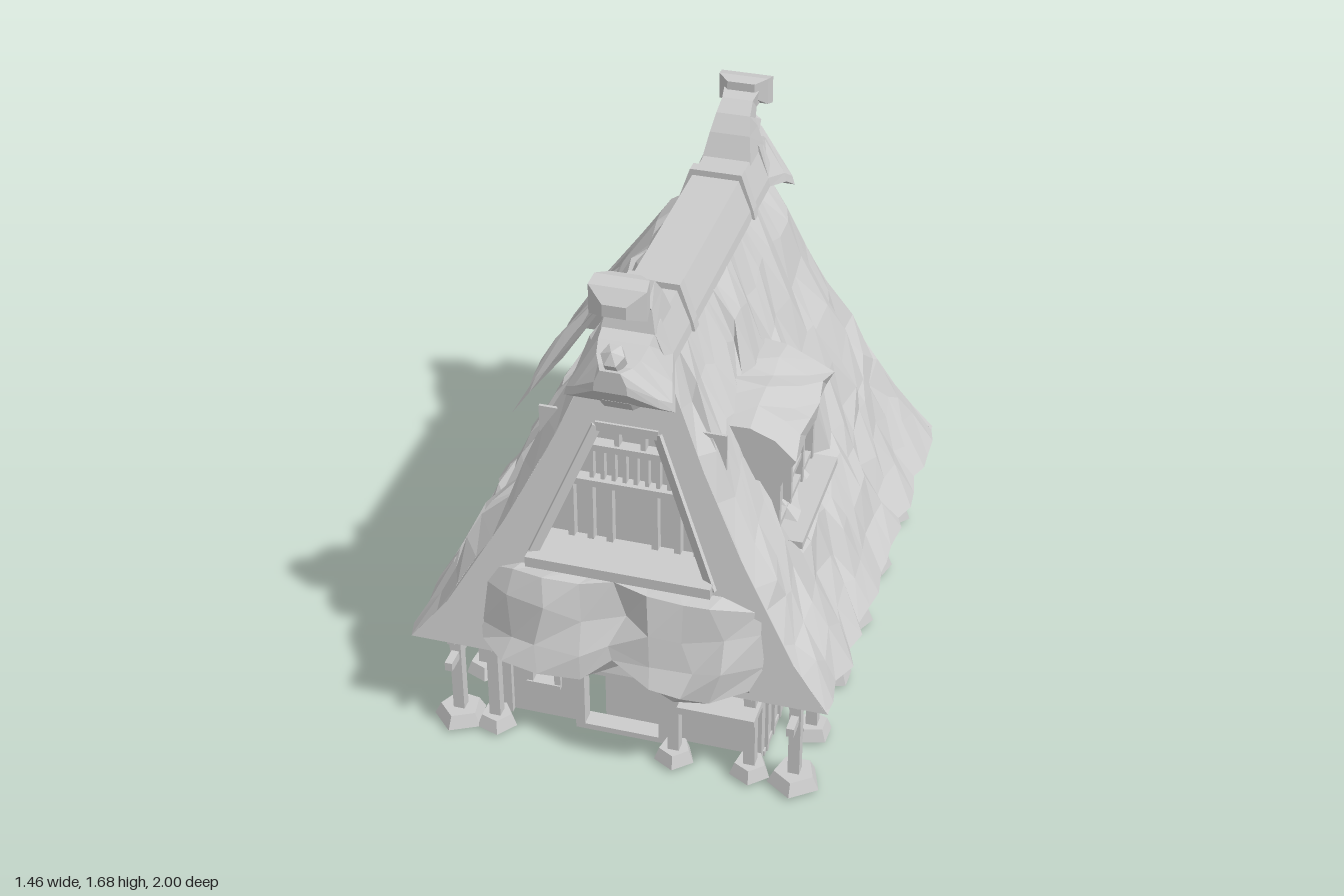
import * as THREE from 'three';

const CX = 0.045, MID = 0.135; // ridge line in x, ridge middle in z

export function createModel() {
  const model = new THREE.Group();
  const mat = new THREE.MeshStandardMaterial({ color: 0xcccccc, flatShading: true, side: THREE.DoubleSide });
  let seed = 7;
  const rnd = () => (seed = (seed * 16807) % 2147483647) / 2147483647;
  const jit = a => (rnd() - 0.5) * 2 * a;
  const group = (name, parent = model) => {
    const g = new THREE.Group(); g.name = name; parent.add(g); return g;
  };
  const add = (geo, name, parent = model) => {
    const m = new THREE.Mesh(geo, mat); m.name = name; parent.add(m); return m;
  };
  // box given by its minimum and maximum on each axis
  const box = (x0, x1, y0, y1, z0, z1, name, parent) => {
    const m = add(new THREE.BoxGeometry(x1 - x0, y1 - y0, z1 - z0), name, parent);
    m.position.set((x0 + x1) / 2, (y0 + y1) / 2, (z0 + z1) / 2);
  };
  // square beam between two points
  const beam = (a, b, w, name, parent) => {
    const p = new THREE.Vector3(...a), q = new THREE.Vector3(...b);
    const m = add(new THREE.BoxGeometry(w, w, p.distanceTo(q)), name, parent);
    m.position.copy(p).add(q).multiplyScalar(0.5);
    m.lookAt(q);
  };
  // surface through rows of points, optionally closed with end caps
  const skin = (rows, name, parent, closed = false) => {
    const n = rows[0].length, idx = [], pos = rows.flat(2);
    for (let i = 0; i < rows.length - 1; i++)
      for (let j = 0; j < (closed ? n : n - 1); j++) {
        const a = i * n + j, b = i * n + (j + 1) % n;
        idx.push(a, a + n, b, b, a + n, b + n);
      }
    if (closed) for (const s of [0, (rows.length - 1) * n])
      for (let j = 1; j < n - 1; j++) idx.push(s, s + j, s + j + 1);
    const g = new THREE.BufferGeometry();
    g.setAttribute('position', new THREE.Float32BufferAttribute(pos, 3));
    g.setIndex(idx);
    g.computeVertexNormals();
    add(g, name, parent);
  };
  // upright panel cut from an outline, leaning by z = lean(y)
  const panel = (outline, holes, depth, lean, name, parent) => {
    const v = pts => pts.map(p => new THREE.Vector2(...p));
    const s = new THREE.Shape(v(outline));
    holes.forEach(h => s.holes.push(new THREE.Path(v(h))));
    const g = new THREE.ExtrudeGeometry(s, { depth, bevelEnabled: false });
    const p = g.attributes.position;
    for (let i = 0; i < p.count; i++) p.setZ(i, p.getZ(i) + lean(p.getY(i)));
    g.computeVertexNormals();
    add(g, name, parent);
  };
  const rect = (x0, x1, y0, y1) => [[x0, y0], [x1, y0], [x1, y1], [x0, y1]];

  // half width of a roof at a height, from a few [y, half] points
  const width = (pts, y) => {
    for (let i = 1; i < pts.length; i++) if (y >= pts[i][0] - 1e-6) {
      const [y0, w0] = pts[i - 1], [y1, w1] = pts[i];
      return w0 + (w1 - w0) * (y - y0) / (y1 - y0);
    }
    return pts[pts.length - 1][1];
  };
  const mainPts = [[1.36, 0.11], [1.28, 0.16], [1.06, 0.27], [0.8, 0.41], [0.5, 0.57], [0.36, 0.66]];
  const gablePts = [[1.36, 0.1], [1.28, 0.14], [1.06, 0.235], [0.8, 0.365], [0.5, 0.54], [0.36, 0.655]];
  const backPts = [[1.06, 0.05], [1.0, 0.13], [0.8, 0.27], [0.6, 0.41], [0.36, 0.56]];
  const mainF = y => 0.91 - 0.19 * (y - 0.36), mainB = y => -0.65 + 0.2 * (y - 0.36);
  const backB = y => -1 + 0.26 * (y - 0.36);
  const outline = (pts, cx) => [...pts.map(([y, w]) => [cx - w, y]).reverse(), ...pts.map(([y, w]) => [cx + w, y])];

  // rough thatch slopes on both sides of a ridge, drawn in at the gable ends
  const thatch = (pts, endPts, cx, ys, zf, zb, n, rough, name) => {
    for (const s of [-1, 1]) {
      const rows = ys.map((y, r) => Array.from({ length: n + 1 }, (_, i) => {
        const end = i === 0 || i === n, edge = r === 0 || r === ys.length - 1;
        const z = zf(y) + (zb(y) - zf(y)) * i / n + (end ? 0 : jit(0.025));
        let w = width(end ? endPts : pts, y) + jit(rough) * (end || r === 0 ? 0.2 : 1);
        // pocket in the thatch for the dormer
        if (s > 0 && cx === CX && z > 0.12 && z < 0.58 && y > 0.7 && y < 1.0) w = Math.min(w, 0.37);
        return [cx + s * w, y + (edge ? jit(0.006) : jit(0.035) * (end ? 0.2 : 1)), z];
      }));
      skin(rows, name);
    }
  };
  thatch(mainPts, gablePts, CX, [1.36, 1.24, 1.1, 0.97, 0.84, 0.73, 0.66, 0.56, 0.46, 0.36], mainF, mainB, 20, 0.02, 'mainRoofSlope');
  thatch(backPts, backPts, -0.16, [1.06, 1.0, 0.87, 0.73, 0.6, 0.47, 0.36], () => -0.31, backB, 6, 0.022, 'rearRoofSlope');
  skin([-0.21, -0.16, -0.11].map((x, i) => [-0.31, -0.5, -0.66, backB(1.06)].map(z => [x, 1.06 + (i === 1 ? 0.012 : 0), z])), 'rearRidge');

  // gable faces of the thatch
  const hole = [[-0.24, 0.69], [0.33, 0.69], [0.14, 1.15], [-0.05, 1.15]];
  panel(outline(gablePts, CX), [hole], 0.08, y => mainF(y) - 0.08, 'frontGableThatch');
  panel(outline(gablePts, CX), [], 0.02, mainB, 'rearGableThatch');
  const arch = [[0.21, 0.36], [0.13, 0.52], [-0.03, 0.76], [-0.1, 0.81], [-0.22, 0.81], [-0.29, 0.76], [-0.43, 0.52], [-0.5, 0.36]];
  panel([...outline(backPts, -0.16), ...arch], [], 0.08, backB, 'rearGableArch');

  // front gable window wall
  const gable = group('frontGableWindow');
  box(-0.24, 0.33, 0.69, 1.15, 0.70, 0.71, 'gableWall', gable);
  box(-0.24, 0.33, 0.685, 0.72, 0.72, 0.88, 'gableSill', gable);
  hole.forEach((p, i) => {
    const q = hole[(i + 1) % 4];
    if (i) beam([...p, mainF(p[1]) - 0.01], [...q, mainF(q[1]) - 0.01], 0.03, 'gableTrim', gable);
  });
  for (const [y, h] of [[0.92, 0.19], [1.05, 0.13]]) box(CX - h, CX + h, y, y + 0.022, 0.71, 0.75, 'gableRail', gable);
  for (const x of [-0.15, -0.09, -0.03, 0.11, 0.18, 0.24]) box(x, x + 0.02, 0.71, 0.93, 0.71, 0.74, 'gableStud', gable);
  for (let i = 0; i < 8; i++) box(-0.08 + i * 0.034, -0.068 + i * 0.034, 0.94, 1.06, 0.71, 0.735, 'gableBar', gable);
  for (const x of [0, 0.08]) box(x, x + 0.015, 1.06, 1.13, 0.71, 0.74, 'gableTopBar', gable);

  // thatched skirt under the front gable, in two sagging lobes
  const skirt = [[0.69, 0.83, 0.35], [0.66, 0.9, 0.41], [0.57, 0.935, 0.44], [0.46, 0.965, 0.45], [0.39, 0.985, 0.43], [0.36, 0.95, 0.4], [0.37, 0.84, 0.39]];
  skin(skirt.map(([y, z, h], r) => Array.from({ length: 9 }, (_, i) => {
    const t = i / 4 - 1, x = 0.05 + t * h, dip = i === 4 ? 0.04 : 0;
    return [x + jit(0.025), y + jit(r ? 0.025 : 0.01) + (r > 2 ? dip : 0), Math.min(1, z - dip - 0.07 * t ** 6 + jit(0.02))];
  })), 'frontSkirtRoof');

  // ridge cap with bands
  const ridgeSection = (z, yb, yt, wb, wt) =>
    [[CX - wb, yb, z], [CX - wb * 0.95, yb + 0.03, z], [CX - wt, yt, z], [CX + wt, yt, z], [CX + wb * 0.95, yb + 0.03, z], [CX + wb, yb, z]];
  skin([ridgeSection(0.73, 1.35, 1.48, 0.12, 0.075), ridgeSection(-0.46, 1.35, 1.48, 0.12, 0.075)], 'ridgeCap', model, true);
  for (const z of [0.48, -0.2])
    skin([ridgeSection(z - 0.02, 1.35, 1.5, 0.13, 0.083), ridgeSection(z + 0.02, 1.35, 1.5, 0.13, 0.083)], 'ridgeBand', model, true);

  // ornaments at both ridge ends: hood, curling horn, knobs
  for (const s of [1, -1]) {
    const g = group('ridgeOrnament');
    const Z = d => MID + s * d;
    skin([[0.54, 1.35, 1.49, 0.12, 0.08], [0.64, 1.32, 1.46, 0.15, 0.075], [0.69, 1.285, 1.44, 0.165, 0.065], [0.72, 1.31, 1.43, 0.13, 0.05], [0.77, 1.37, 1.44, 0.05, 0.03]]
      .map(([d, ...r]) => ridgeSection(Z(d), ...r)), 'ridgeHood', g, true);
    // horn sections: inner and outer edge as distance and height, half width
    skin([[0.44, 1.47, 0.6, 1.47, 0.08], [0.48, 1.55, 0.58, 1.54, 0.065], [0.52, 1.6, 0.59, 1.56, 0.055], [0.57, 1.63, 0.62, 1.585, 0.05], [0.64, 1.645, 0.65, 1.6, 0.06]]
      .map(([d0, y0, d1, y1, w]) => [[CX - w, y0, Z(d0)], [CX + w, y0, Z(d0)], [CX + w, y1, Z(d1)], [CX - w, y1, Z(d1)]]), 'horn', g, true);
    // wide four-sided horn tip
    skin([[0.61, 0.045], [0.645, 0.08], [0.69, 0.085], [0.725, 0.035]].map(([d, w]) => [[-1, -1], [1, -1], [1, 1], [-1, 1]].map(([a, b]) =>
      [CX + a * w, 1.645 - (d - 0.6) * 0.3 + b * w * 0.55, Z(d)])), 'hornTip', g, true);
    const knob = (d, y, r, wx, name) => {
      const m = add(new THREE.SphereGeometry(r, 6, 3), name, g);
      m.position.set(CX, y, Z(d)); m.scale.x = wx; m.rotation.x = s * 0.6;
    };
    knob(0.73, 1.46, 0.045, 0.9, 'upperKnob');
    knob(0.68, 1.31, 0.045, 2.2, 'lowerKnob');
  }

  // dormer on the left slope
  const dormer = group('dormer');
  box(0.3, 0.43, 0.7, 0.95, 0.12, 0.56, 'dormerWall', dormer);
  box(0.4, 0.53, 0.685, 0.71, 0.11, 0.57, 'dormerSill', dormer);
  for (const z of [0.12, 0.25, 0.4, 0.54]) box(0.42, 0.455, 0.71, 0.93, z, z + 0.02, 'dormerPost', dormer);
  for (const [y, a, b] of [[0.72, 0.12, 0.56], [0.8, 0.26, 0.41], [0.89, 0.12, 0.56]]) box(0.42, 0.45, y, y + 0.018, a, b, 'dormerRail', dormer);
  const dormerProfile = [[0.28, 0.93], [0.24, 1.13], [0.36, 1.11], [0.44, 1.075], [0.5, 1.04], [0.49, 0.97], [0.455, 0.91]];
  skin(Array.from({ length: 6 }, (_, i) => {
    const t = i / 2.5 - 1;
    return dormerProfile.map(([x, y], r) =>
      [x + jit(0.008), r > 0 && r < 5 ? y + jit(0.015) - 0.02 * t * t : y, 0.34 + t * 0.24]);
  }), 'dormerRoof', dormer, true);

  // rear gable: deep-set wall, lattice and balcony
  const rear = group('rearGable');
  panel(arch, [], 0.02, () => -0.7, 'rearGableWall', rear);
  box(-0.52, 0.22, 0.36, 0.385, -0.88, -0.6, 'rearBalcony', rear);
  for (const [y, h] of [[0.46, 0.32], [0.56, 0.26], [0.68, 0.19]]) box(-0.16 - h, -0.16 + h, y, y + 0.025, -0.74, -0.7, 'rearRail', rear);
  for (const [x, t] of [[-0.4, 0.56], [-0.29, 0.74], [-0.175, 0.8], [-0.06, 0.74], [0.05, 0.56]]) box(x, x + 0.03, 0.38, t, -0.75, -0.7, 'rearStud', rear);
  box(-0.18, -0.145, 0.38, 0.83, -0.86, -0.83, 'rearKingPost', rear);

  // ground floor walls and ceiling
  const house = group('groundFloor');
  box(-0.57, 0.66, 0.37, 0.385, -0.62, 0.87, 'ceiling', house);
  const openings = [rect(-0.1, 0.14, 0.02, 0.23), rect(-0.27, -0.2, 0.15, 0.23), rect(0.25, 0.37, 0.15, 0.23)];
  for (const [z, name] of [[0.73, 'frontWall'], [-0.72, 'rearWall']]) panel(rect(-0.38, 0.47, 0.01, 0.26), openings, 0.03, () => z, name, house);
  for (const z of [0.7, -0.69]) {
    box(-0.05, 0.14, 0.02, 0.23, z, z + 0.02, 'slidingDoor', house);
    box(0.3, 0.38, 0.15, 0.23, z, z + 0.02, 'windowShutter', house);
  }
  for (const [x0, x1] of [[-0.27, -0.2], [0.25, 0.37]]) {
    box(x0 - 0.02, x1 + 0.02, 0.135, 0.15, 0.75, 0.78, 'windowSill', house);
    for (const x of [x0 - 0.02, x1]) box(x, x + 0.02, 0.135, 0.24, 0.75, 0.775, 'windowFrame', house);
  }
  for (const z of [0.74, -0.74]) for (const x of [-0.37, -0.13, 0.14, 0.44]) box(x, x + 0.03, 0.01, 0.36, z, z + 0.04, 'wallStud', house);
  for (const x of [-0.38, 0.45]) {
    box(x, x + 0.02, 0.015, 0.25, -0.71, 0.75, 'sideWall', house);
    for (let i = 0; i <= 18; i++) box(x - 0.01, x + 0.03, 0.015, 0.25, -0.715 + i * 0.08, -0.7 + i * 0.08, 'batten', house);
    for (const y of [0.25, 0.295, 0.335]) box(x - 0.01, x + 0.03, y, y + 0.018, -0.71, 0.75, 'sideRail', house);
  }
  for (const z of [0.8, -0.74]) for (const y of [0.26, 0.29, 0.335]) box(-0.41, z > 0 ? 0.48 : 0.4, y, y + 0.022, z - 0.01, z + 0.015, 'crossRail', house);
  for (let i = 0; i < 13; i++) box(-0.36 + i * 0.066, -0.35 + i * 0.066, 0.26, 0.36, 0.745, 0.76, 'transomBar', house);
  for (const z of [0.61, 0.33, 0.03, -0.27, -0.57]) for (const [a, b] of [[-0.55, -0.36], [0.45, 0.64]])
    box(a, b, 0.34, 0.368, z - 0.014, z + 0.014, 'ceilingBeam', house);
  box(0.24, 0.48, 0.26, 0.285, 0.76, 0.92, 'cornerShelf', house);

  // posts on rough stones with brackets
  const post = (x, z, r) => {
    const g = group('post');
    box(x - 0.018, x + 0.018, 0.04, 0.365, z - 0.018, z + 0.018, 'shaft', g);
    box(x - 0.05, x + 0.05, 0.335, 0.36, z - 0.012, z + 0.012, 'bracket', g);
    box(x - 0.012, x + 0.012, 0.335, 0.36, z - 0.05, z + 0.05, 'bracket', g);
    const stone = add(new THREE.CylinderGeometry(r * 0.75, r, 0.042, 5), 'stone', g);
    stone.position.set(x, 0.034, z);
    stone.rotation.y = jit(3);
  };
  for (const z of [0.84, 0.61, 0.33, 0.03, -0.27, -0.57, -0.84]) {
    const r = Math.abs(z) > 0.8 ? 0.085 : 0.065;
    post(-0.49, z, r);
    if (z > -0.8) post(0.59, z, r);
  }
  for (const [x, z] of [[-0.37, 0.84], [0.21, 0.84], [0.45, 0.84], [-0.2, -0.84], [0.08, -0.84], [0.33, -0.84]]) post(x, z, 0.065);
  for (const [x, a, b] of [[-0.49, 0.62, 0.92], [0.59, 0.62, 0.92], [-0.49, -0.83, -0.58]])
    box(x - 0.012, x + 0.012, 0.255, 0.285, a, b, 'tieBeam');
  // base sills and entrance step
  for (const x of [-0.385, 0.445]) box(x, x + 0.03, 0.01, 0.03, -0.72, 0.76, 'baseSill');
  box(-0.13, 0.17, 0.0, 0.02, 0.72, 0.78, 'doorStep');

  return model;
}
